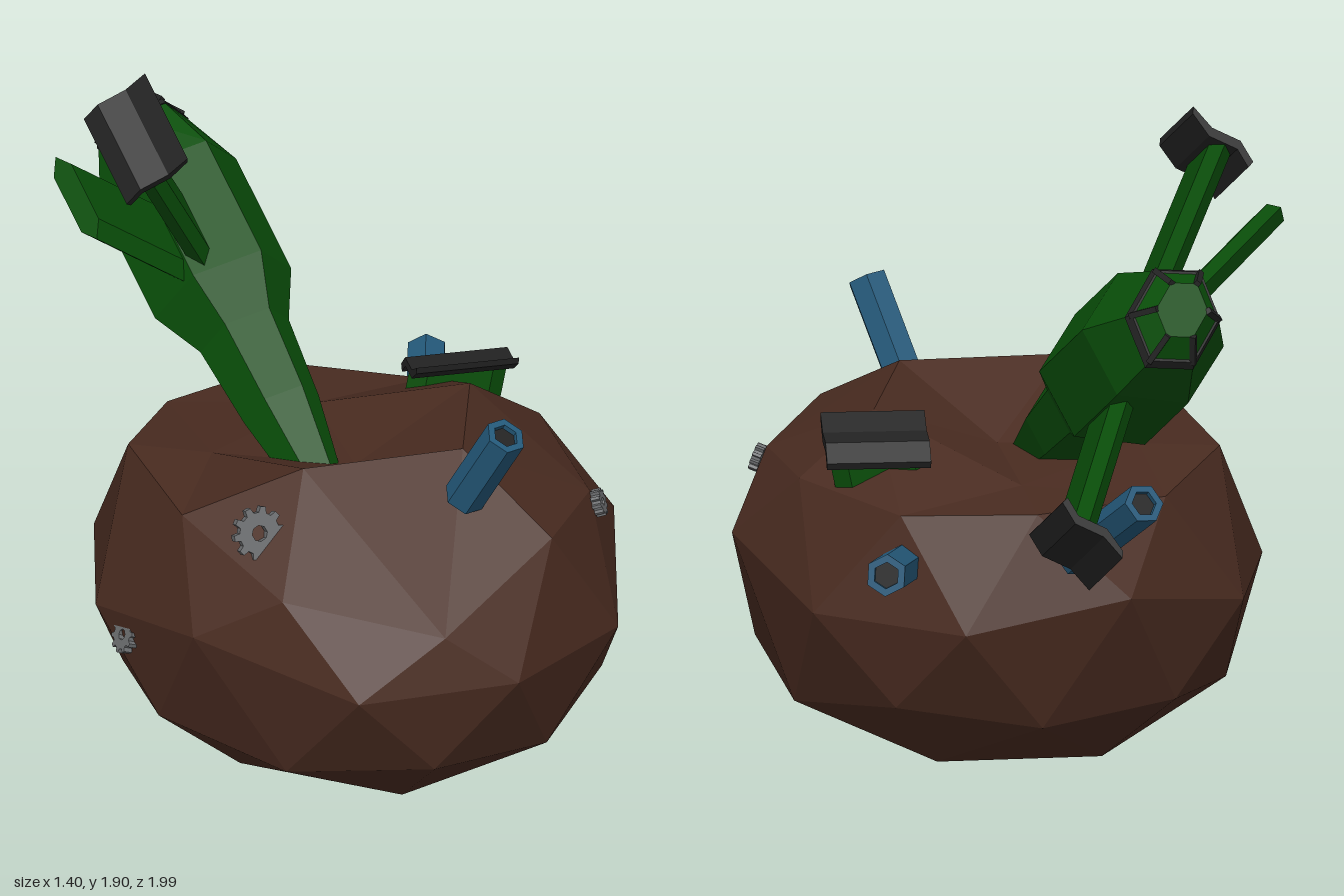
import * as THREE from 'three';

const mat = (name, color) => {
  const m = new THREE.MeshStandardMaterial({ color });
  m.name = name;
  return m;
};
const V = (x, y, z) => new THREE.Vector3(x, y, z);

// Facets a geometry so that every face is flat
function facet(geometry) {
  const g = geometry.index ? geometry.toNonIndexed() : geometry;
  g.computeVertexNormals();
  return g;
}

function add(parent, name, geometry, material) {
  const mesh = new THREE.Mesh(facet(geometry), material);
  mesh.name = name;
  parent.add(mesh);
  return mesh;
}

// Places an object so that its z axis runs along dir
function aim(object, position, dir) {
  object.position.copy(position);
  object.quaternion.setFromUnitVectors(V(0, 0, 1), dir.clone().normalize());
}

// Moves every vertex of a geometry by a rule
function bend(geometry, rule) {
  const pos = geometry.attributes.position;
  const p = V(0, 0, 0);
  for (let i = 0; i < pos.count; i++) {
    p.fromBufferAttribute(pos, i);
    rule(p);
    pos.setXYZ(i, p.x, p.y, p.z);
  }
  return geometry;
}

// The tail of the hull is a flattened hexagon
function flattenTail(p) {
  if (p.z < -0.2) {
    p.x *= 1.06;
    p.y *= 0.84;
  }
  return p;
}

// Six-sided turned shape along z; points are [z, radius]
function hexLathe(points) {
  const g = new THREE.LatheGeometry(points.map(([z, r]) => new THREE.Vector2(r, z)), 6);
  return bend(g.rotateX(Math.PI / 2).rotateZ(THREE.MathUtils.degToRad(41)), flattenTail);
}

const polygon = (pts) => new THREE.Shape(pts.map(([x, y]) => new THREE.Vector2(x, y)));
const ring = (n, r) => Array.from({ length: n }, (_, i) => {
  const a = (i / n) * Math.PI * 2;
  return [r * Math.cos(a), r * Math.sin(a)];
});
const extrude = (shape, depth) => new THREE.ExtrudeGeometry(shape, { depth, bevelEnabled: false });

// Faceted boulder with a sunken crater on top
function rockGeometry() {
  const g = new THREE.IcosahedronGeometry(1, 1);
  g.rotateZ(-Math.atan(2 / (1 + Math.sqrt(5))));
  g.scale(0.71, 0.54, 0.79).translate(0, 0.54, 0.215);
  const moved = [
    // crater floor
    V(0, 0.87, 0.21), V(0.12, 0.86, -0.17), V(-0.3, 0.89, -0.03),
    // crater rim
    V(0.12, 1.03, 0.55), V(0.37, 1.01, 0.21), V(-0.3, 1.03, 0.41), V(-0.57, 0.89, 0.23),
    V(-0.47, 0.9, -0.18), V(-0.19, 0.85, -0.41), V(0.2, 0.85, -0.42), V(0.6, 0.85, 0.2),
    // flanks
    V(0.2, 0.87, 0.86), V(-0.17, 0.69, 0.9), V(0, 0.55, 1), V(0, 0.63, -0.58),
    V(-0.675, 0.64, 0.44), V(0.68, 0.65, 0.44), V(0.61, 0.23, 0.21),
  ];
  return bend(g, (p) => {
    const target = moved.find((m) => m.distanceTo(p) < 0.225);
    if (target) p.copy(target);
  });
}

// Wing reaching along +x, chord along z, swept back to an optional S-shaped tip plate
function wing(name, length, green, black, withPlate = true) {
  const group = new THREE.Group();
  group.name = name;
  const section = polygon([[-0.135, 0], [-0.09, -0.032], [0.09, -0.032], [0.135, 0], [0.09, 0.032], [-0.09, 0.032]]);
  const panel = extrude(section, length).rotateY(Math.PI / 2);
  add(group, 'wingPanel', bend(panel, (p) => { p.z += 0.21 * (length - p.x); }), green);
  if (withPlate) {
    const plate = polygon([
      [-0.01, -0.05], [0.03, -0.112], [0.05, -0.118], [0.016, -0.05],
      [0.016, 0.035], [-0.025, 0.088], [-0.045, 0.08], [-0.01, 0.035],
    ]);
    const mesh = add(group, 'wingTipPlate', extrude(plate, 0.28).translate(0, 0, -0.14), black);
    mesh.position.x = length;
  }
  return group;
}

// Hexagonal canister between two points, with a dark core in its ends
function canister(parent, from, to, shell, core) {
  const shape = polygon(ring(6, 0.057));
  shape.holes.push(new THREE.Path(ring(6, 0.036).map(([x, y]) => new THREE.Vector2(x, y))));
  const dir = to.clone().sub(from);
  const length = dir.length();
  const group = new THREE.Group();
  group.name = 'canister';
  add(group, 'canisterTube', extrude(shape, length), shell);
  add(group, 'canisterCore', extrude(polygon(ring(6, 0.037)), length - 0.03).translate(0, 0, 0.015), core);
  aim(group, from, dir);
  parent.add(group);
}

// Toothed wheel facing along a direction
function gear(parent, center, dir, radius, material) {
  const teeth = 10;
  const pts = [];
  for (let i = 0; i < teeth; i++) {
    [[-0.3, 0.78], [-0.17, 1], [0.17, 1], [0.3, 0.78]].forEach(([o, r]) => {
      const a = ((i + o) / teeth) * Math.PI * 2;
      pts.push([Math.cos(a) * r * radius, Math.sin(a) * r * radius]);
    });
  }
  const shape = polygon(pts);
  shape.holes.push(new THREE.Path(ring(8, radius * 0.3).map(([x, y]) => new THREE.Vector2(x, y))));
  const mesh = add(parent, 'gear', extrude(shape, 0.025).translate(0, 0, -0.0125), material);
  aim(mesh, center, dir);
}

export function createModel() {
  const brown = mat('rockBrown', 0x492b20);
  const green = mat('hullGreen', 0x094e09);
  const black = mat('trimBlack', 0x232323);
  const blue = mat('canisterBlue', 0x24597a);
  const grey = mat('gearGrey', 0x6a6c6e);

  const model = new THREE.Group();
  model.name = 'crashedShipOnRock';
  add(model, 'rock', rockGeometry(), brown);

  // Ship: z runs to the buried nose, x along the upper wing
  const ship = new THREE.Group();
  ship.name = 'ship';
  const zAxis = V(-0.07, -0.535, 0.84).normalize();
  const yAxis = zAxis.clone().cross(V(-0.565, 0.71, 0.427)).normalize();
  const xAxis = yAxis.clone().cross(zAxis);
  ship.quaternion.setFromRotationMatrix(new THREE.Matrix4().makeBasis(xAxis, yAxis, zAxis));
  ship.position.set(-0.045, 1.3, -0.535);
  model.add(ship);

  add(ship, 'hull', hexLathe([
    [-0.365, 0], [-0.365, 0.085], [-0.3, 0.145], [-0.12, 0.2], [0.24, 0.2],
    [0.38, 0.13], [0.62, 0.11], [0.92, 0.06], [0.92, 0],
  ]), green);

  // Dark band and ribs on the tail
  add(ship, 'tailBand', hexLathe([[-0.31, 0.12], [-0.31, 0.144], [-0.285, 0.157], [-0.285, 0.13]]), black);
  for (let i = 0; i < 6; i++) {
    const a = THREE.MathUtils.degToRad(11 + i * 60);
    const from = flattenTail(V(0.145 * Math.cos(a), 0.145 * Math.sin(a), -0.3));
    const to = flattenTail(V(0.083 * Math.cos(a), 0.083 * Math.sin(a), -0.368));
    const dir = to.clone().sub(from);
    const rib = add(ship, 'tailRib', new THREE.BoxGeometry(0.016, 0.016, dir.length()), black);
    aim(rib, from.clone().add(to).multiplyScalar(0.5), dir);
  }

  // Three wings still attached, one of them without its plate
  [['upperWing', 0, 0.61, 0, true], ['lowerWing', 180, 0.6, -0.035, true], ['brokenWing', 22, 0.55, 0.02, false]]
    .forEach(([name, angle, length, z, plate]) => {
      const w = wing(name, length, green, black, plate);
      w.rotation.z = THREE.MathUtils.degToRad(angle);
      w.position.z = z;
      ship.add(w);
    });

  // Torn-off wing stuck in the rock
  const torn = wing('tornWing', 0.18, green, black);
  const up = V(0.02, 0.98, -0.06).normalize();
  const side = up.clone().cross(V(0.93, 0, 0.37)).normalize();
  const chord = up.clone().cross(side);
  torn.quaternion.setFromRotationMatrix(new THREE.Matrix4().makeBasis(up, side, chord));
  torn.position.set(0.455, 0.97, 0.03).addScaledVector(up, -0.18);
  model.add(torn);

  canister(model, V(0.05, 0.95, 0.66), V(0.085, 1.19, 0.81), blue, black);
  canister(model, V(0.49, 0.69, -0.19), V(0.665, 0.745, -0.44), blue, black);
  canister(model, V(0.17, 0.77, -0.58), V(0.155, 1.01, -0.96), blue, black);

  gear(model, V(-0.475, 0.905, 0.455), V(-0.2, 0.35, 0.9), 0.073, grey);
  gear(model, V(0.507, 0.79, 0.627), V(0.7, 0.3, 0.6), 0.038, grey);
  gear(model, V(-0.665, 0.5, 0.1), V(-0.9, 0.35, -0.1), 0.05, grey);
  return model;
}
